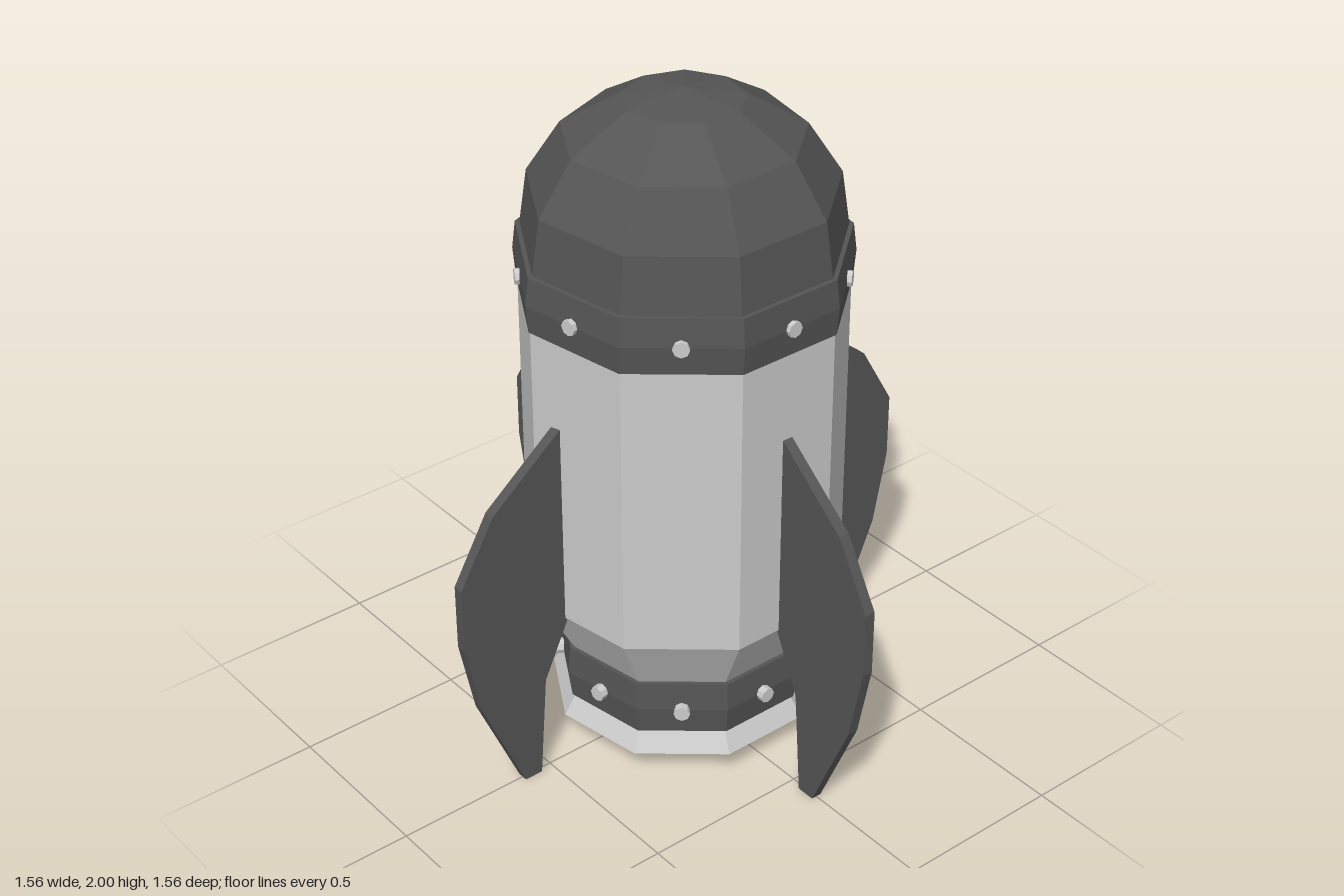
import * as THREE from 'three';

const SIDES = 9;
const mat = (color) => new THREE.MeshStandardMaterial({ color, flatShading: true });

export function createModel() {
  const light = mat(0xcccccc);
  const dark = mat(0x555555);
  const rocket = new THREE.Group();
  rocket.name = 'rocket';

  const add = (name, geometry, material, parent = rocket) => {
    const mesh = new THREE.Mesh(geometry, material);
    mesh.name = name;
    parent.add(mesh);
    return mesh;
  };

  // Nine-sided turned shape with one corner at the back and a flat face in front
  const turned = (profile) => new THREE.LatheGeometry(
    profile.map(([r, y]) => new THREE.Vector2(r, y)), SIDES, Math.PI);

  // Hull with tapered tail and flared nozzle
  add('hull', turned([
    [0.396, 0.08], [0.358, 0.145], [0.36, 0.315], [0.465, 0.505], [0.465, 1.44],
  ]), light);
  add('nozzleBase', turned([[0, 0.08], [0.396, 0.08]]), dark);

  // Faceted nose dome
  add('noseDome', turned([
    [0.458, 1.5], [0.453, 1.56], [0.43, 1.72], [0.334, 1.87], [0.168, 1.97], [0, 2],
  ]), dark);

  // Slightly bulged bands, each with one rivet per face
  const addBand = (name, y0, y1, rBottom, rMid, rTop, rivetOut) => {
    const band = new THREE.Group();
    band.name = name;
    rocket.add(band);
    const yMid = (y0 + y1) / 2;
    add(name + 'Ring', turned([
      [rBottom - 0.03, y0], [rBottom, y0], [rMid, yMid], [rTop, y1], [rTop - 0.03, y1],
    ]), dark, band);
    const rivet = new THREE.CylinderGeometry(0.023, 0.023, 0.06, 8)
      .rotateX(Math.PI / 2)
      .translate(0, yMid, rMid * Math.cos(Math.PI / SIDES) + rivetOut - 0.03);
    for (let i = 0; i < SIDES; i++) {
      add(name + 'Rivet', rivet, light, band).rotation.y = (i * 2 * Math.PI) / SIDES;
    }
  };
  addBand('upperBand', 1.395, 1.56, 0.469, 0.476, 0.466, 0.012);
  addBand('lowerBand', 0.145, 0.315, 0.37, 0.381, 0.373, 0.022);

  // Four swept fins, their roots sunk into the hull
  const outline = [
    [0.42, 1.145], [0.44, 1.13], [0.67, 0.945], [0.782, 0.75], [0.782, 0.55],
    [0.735, 0.32], [0.597, 0], [0.54, 0], [0.515, 0.32], [0.44, 0.48], [0.42, 0.52],
  ];
  const finGeometry = new THREE.ExtrudeGeometry(
    new THREE.Shape(outline.map(([x, y]) => new THREE.Vector2(x, y))),
    { depth: 0.032, bevelEnabled: false }).translate(0, 0, -0.016);
  for (let i = 0; i < 4; i++) {
    add('fin', finGeometry, dark).rotation.y = (i * Math.PI) / 2;
  }

  return rocket;
}
